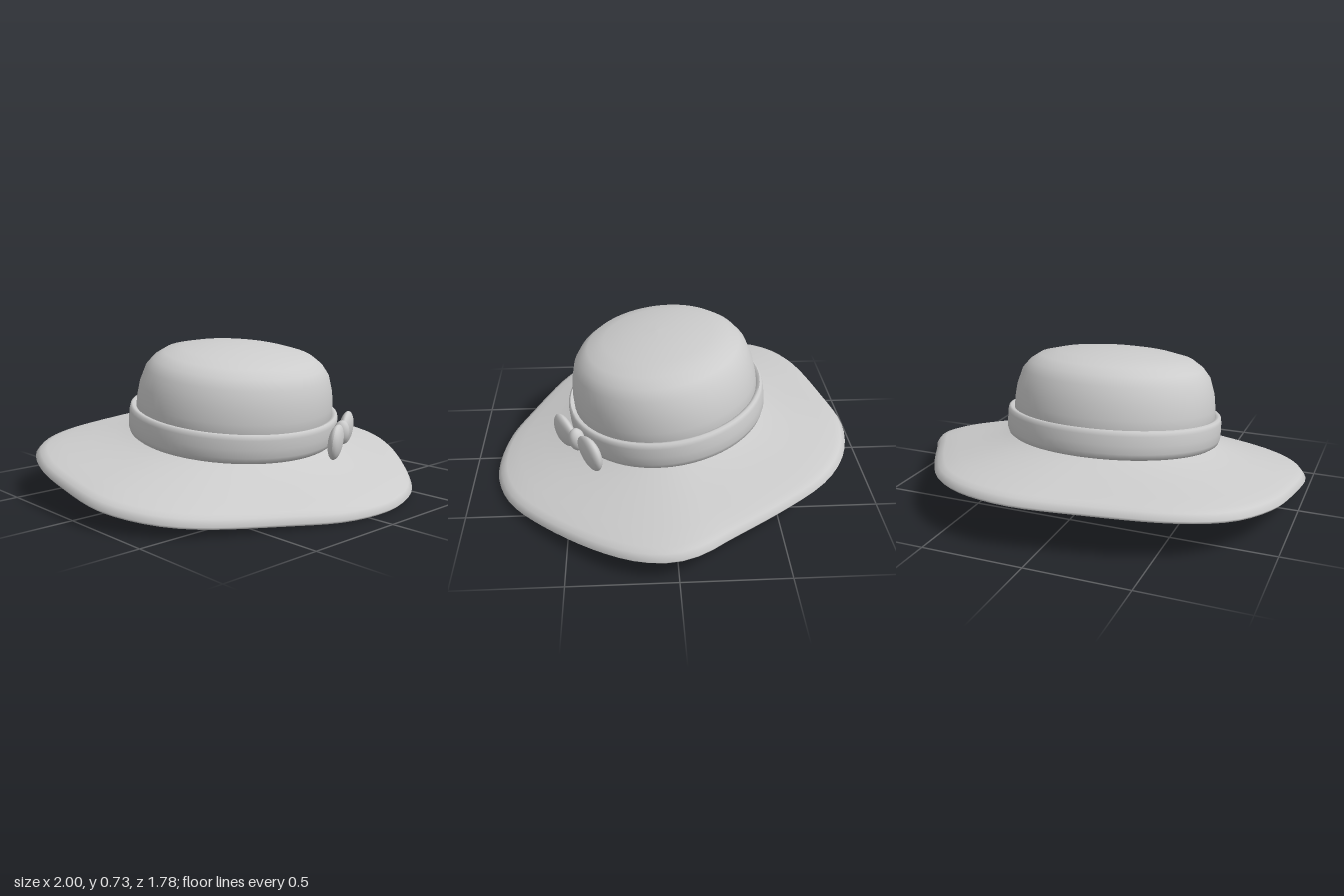
import * as THREE from 'three';
import { toCreasedNormals } from 'three/addons/utils/BufferGeometryUtils.js';

const CX = -0.028, CZ = -0.02; // axis of the crown
const RX = 0.52, RZ = 0.47; // crown half-widths

// Irregular brim outline as [x, z], starting at the back
const OUTLINE = [
  [0.12, -0.9], [0.35, -0.86], [0.5, -0.785], [0.61, -0.69], [0.75, -0.49], [0.9, -0.23], [0.975, -0.1],
  [1, 0.02], [0.97, 0.17], [0.87, 0.35], [0.66, 0.6], [0.44, 0.79], [0.25, 0.87], [0.08, 0.89],
  [-0.15, 0.86], [-0.4, 0.755], [-0.73, 0.59], [-0.86, 0.48], [-0.95, 0.34], [-1, 0.18],
  [-0.99, -0.1], [-0.95, -0.35], [-0.85, -0.57], [-0.74, -0.68], [-0.55, -0.775], [-0.2, -0.855],
];

// Brim cross-section as [share of the way from opening to outline, height]
const BRIM = [
  [0, 0.2], [0.06, 0.165], [0.14, 0.145], [0.3, 0.12], [0.5, 0.093], [0.75, 0.065], [0.9, 0.045], [0.96, 0.033],
  [1, 0.005], [0.98, -0.008], [0.94, -0.006], [0.75, 0.012], [0.5, 0.04], [0.32, 0.068],
  [0.2, 0.095], [0.1, 0.125], [0.03, 0.15], [0, 0.17],
];

function brimGeometry(n = 80) {
  const curve = new THREE.CatmullRomCurve3(OUTLINE.map(([x, z]) => new THREE.Vector3(x, 0, z)), true);
  const rim = curve.getSpacedPoints(n).slice(0, n);
  const pos = [], idx = [], m = BRIM.length;
  for (const [t, y] of BRIM) {
    for (const p of rim) {
      const a = Math.atan2((p.z - CZ) / RZ, (p.x - CX) / RX);
      const ix = CX + 0.455 * Math.cos(a), iz = CZ + 0.41 * Math.sin(a);
      pos.push(ix + (p.x - ix) * t, y, iz + (p.z - iz) * t);
    }
  }
  for (let i = 0; i < m; i++) {
    for (let j = 0; j < n; j++) {
      const i2 = (i + 1) % m, j2 = (j + 1) % n;
      const a = i * n + j, b = i2 * n + j, c = i * n + j2, d = i2 * n + j2;
      idx.push(a, c, b, b, c, d);
    }
  }
  const g = new THREE.BufferGeometry();
  g.setAttribute('position', new THREE.Float32BufferAttribute(pos, 3));
  g.setIndex(idx);
  g.computeVertexNormals();
  return g;
}

// Oval lathe around the crown axis
function oval(profile, rx, rz) {
  const g = new THREE.LatheGeometry(profile.map(([r, y]) => new THREE.Vector2(r, y)), 64);
  return g.scale(rx, 1, rz).translate(CX, 0, CZ);
}

// Egg-shaped bow loop, wider at its outer end
function loopGeometry(side) {
  const g = new THREE.SphereGeometry(1, 28, 20);
  const p = g.attributes.position;
  for (let i = 0; i < p.count; i++) {
    const k = 0.93 + 0.2 * p.getX(i) * side;
    p.setXYZ(i, p.getX(i) * 0.105, p.getY(i) * 0.09 * k, p.getZ(i) * 0.036 * k);
  }
  g.computeVertexNormals();
  return g;
}

export function createModel() {
  const felt = new THREE.MeshStandardMaterial({ color: 0xcccccc, side: THREE.DoubleSide });
  felt.name = 'pale grey';
  const model = new THREE.Group();
  model.name = 'hat';

  // The whole hat dips towards the front
  const tilted = new THREE.Group();
  tilted.name = 'tiltedHat';
  tilted.position.y = 0.117;
  tilted.rotation.x = 0.122;
  model.add(tilted);

  const add = (name, geometry, parent = tilted) => {
    const mesh = new THREE.Mesh(geometry, felt);
    mesh.name = name;
    parent.add(mesh);
    return mesh;
  };

  add('brim', brimGeometry());

  // Open domed crown
  add('crown', oval([
    [0.9, 0.15], [0.97, 0.2], [1, 0.28], [0.998, 0.33], [0.98, 0.4], [0.93, 0.48],
    [0.86, 0.525], [0.76, 0.56], [0.58, 0.583], [0.36, 0.598], [0.18, 0.605], [0.0001, 0.607],
  ], RX, RZ));

  // Ribbon band around the crown
  const band = oval([
    [0.9, 0.15], [0.96, 0.148], [0.985, 0.158], [1, 0.18], [1.002, 0.22],
    [1, 0.265], [0.993, 0.285], [0.975, 0.291], [0.945, 0.286], [0.925, 0.27],
  ], 0.553, 0.502);
  add('hatBand', toCreasedNormals(band, 0.9));

  // Bow on the front of the band, towards the left
  const bow = new THREE.Group();
  bow.name = 'bow';
  bow.position.set(0.283, 0.23, 0.435);
  bow.rotation.y = Math.PI / 6;
  tilted.add(bow);
  for (const side of [-1, 1]) {
    const loop = add(side > 0 ? 'leftBowLoop' : 'rightBowLoop', loopGeometry(side), bow);
    loop.position.set(side * 0.124, -0.012, 0);
    loop.rotation.z = -side * 0.1;
  }
  add('bowKnot', new THREE.SphereGeometry(1, 24, 18).scale(0.04, 0.06, 0.04), bow);

  return model;
}
